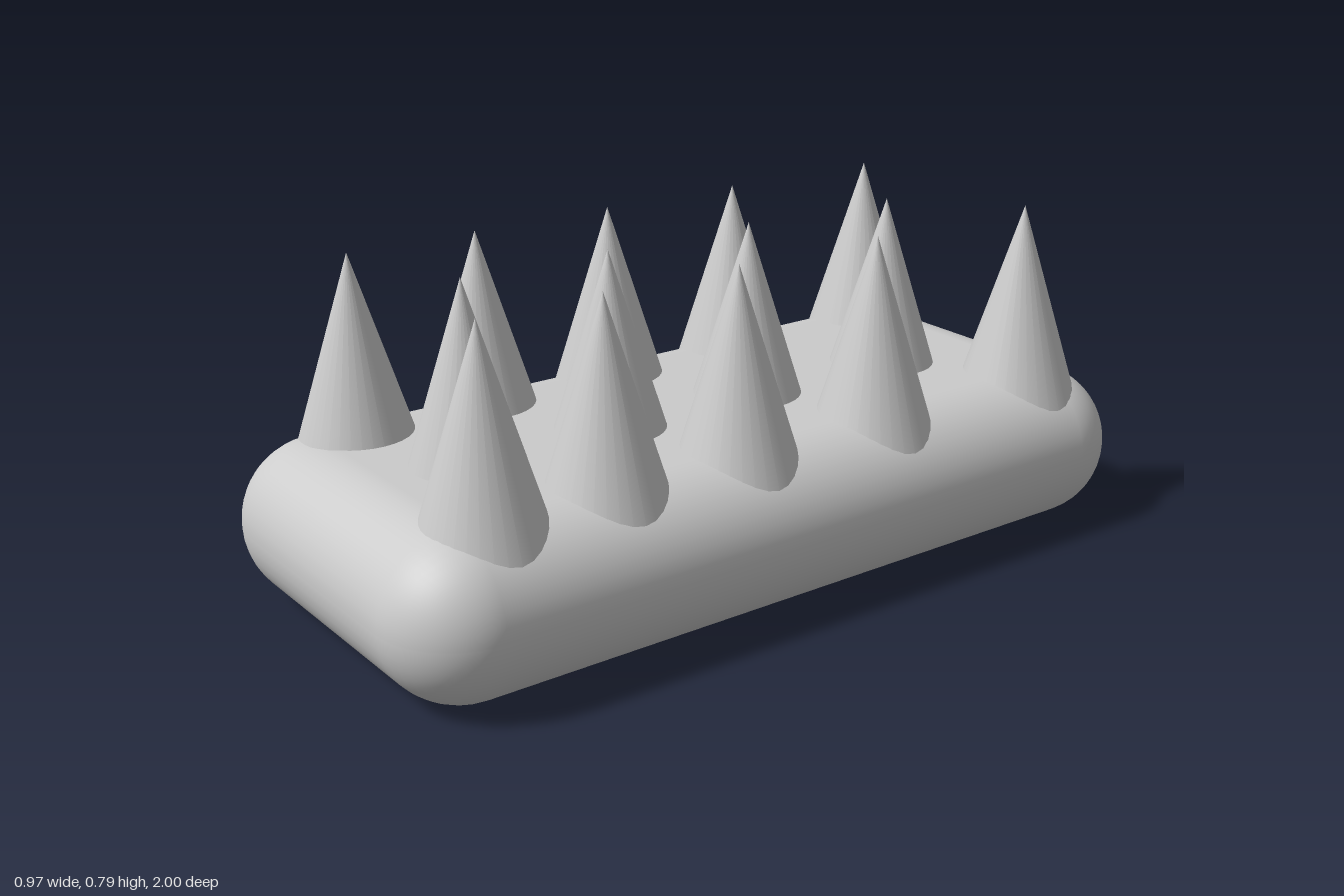
import * as THREE from 'three';
import { RoundedBoxGeometry } from 'three/addons/geometries/RoundedBoxGeometry.js';

export function createModel() {
  const group = new THREE.Group();
  const material = new THREE.MeshStandardMaterial({ color: 0xcccccc });

  // Pillow-edged slab
  const height = 0.378;
  const base = new THREE.Mesh(new RoundedBoxGeometry(0.966, height, 2, 6, 0.187), material);
  base.name = 'base';
  base.position.y = height / 2;
  group.add(base);

  // Three staggered rows of cones sunk into the slab: [x, z] of each tip
  const rows = {
    rightSpike: [[-0.29, -0.77], [-0.293, -0.335], [-0.295, 0.04], [-0.293, 0.405], [-0.295, 0.725]],
    middleSpike: [[0.04, -0.55], [0.022, -0.138], [0.022, 0.255], [0.022, 0.625]],
    leftSpike: [[0.29, -0.767], [0.29, -0.295], [0.287, 0.098], [0.283, 0.445], [0.287, 0.745]],
  };
  const tipY = 0.79, footY = 0.22;
  const spikeHeight = tipY - footY;
  const spikeGeometry = new THREE.ConeGeometry(spikeHeight * 0.311, spikeHeight, 32);
  for (const [name, tips] of Object.entries(rows)) {
    tips.forEach(([x, z], i) => {
      const spike = new THREE.Mesh(spikeGeometry, material);
      spike.name = name + (i + 1);
      spike.position.set(x, footY + spikeHeight / 2, z);
      group.add(spike);
    });
  }
  return group;
}
